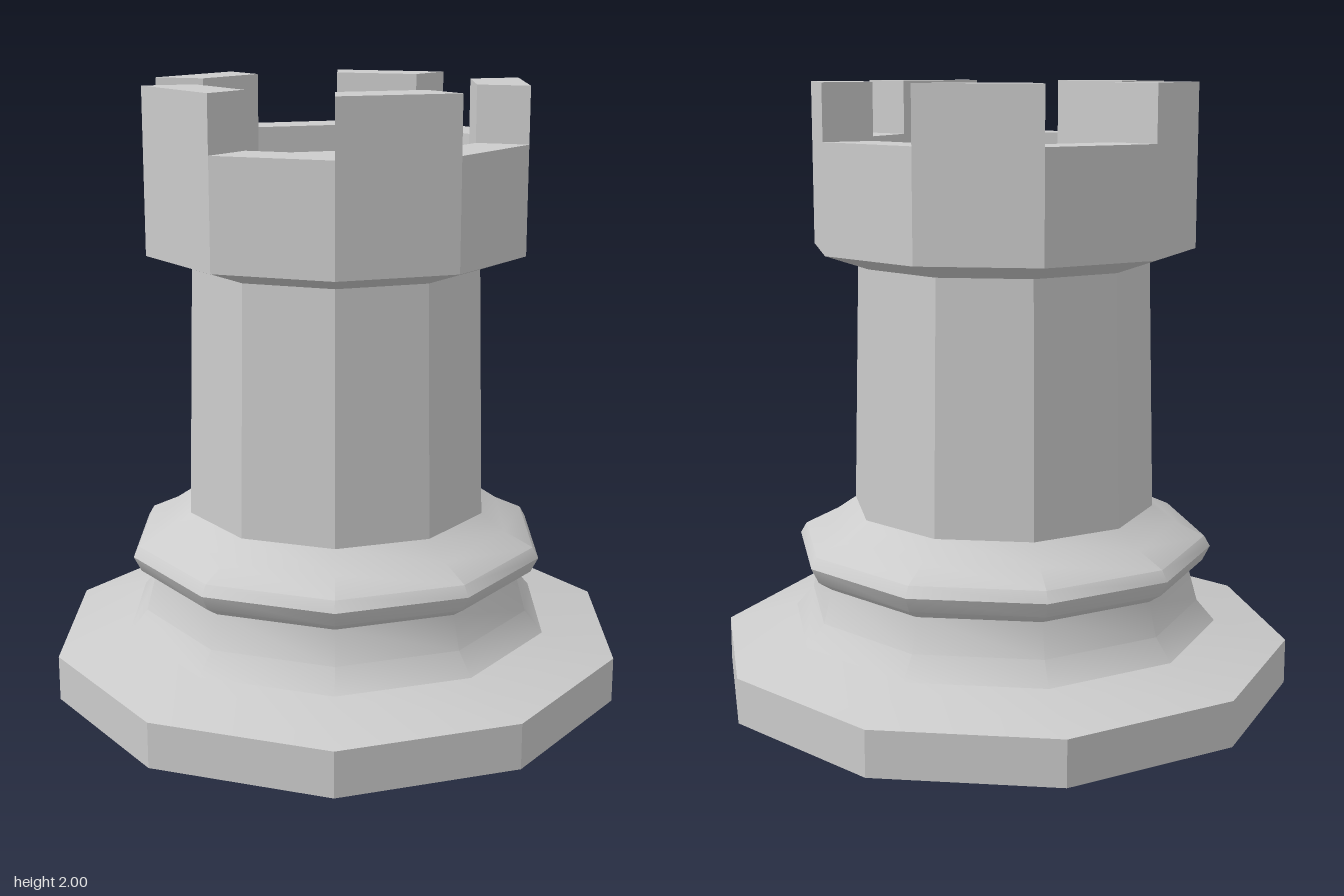
import * as THREE from 'three';
import { toCreasedNormals } from 'three/addons/utils/BufferGeometryUtils.js';

const SIDES = 10;
const STEP = (Math.PI * 2) / SIDES;
const CREASE = THREE.MathUtils.degToRad(35.3);
const RIM_OUTER = 0.63, RIM_INNER = 0.46;
const RIM_Y = 1.82, TOP_Y = 2;

const material = new THREE.MeshStandardMaterial({ color: 0xcccccc });
const flatMaterial = new THREE.MeshStandardMaterial({ color: 0xcccccc, flatShading: true });

// Ten-sided turned part from [radius, height] pairs, listed from the bottom up.
function turned(name, profile, smooth = false) {
  const points = profile.map(([r, y]) => new THREE.Vector2(r, y));
  let geometry = new THREE.LatheGeometry(points, SIDES);
  if (smooth) geometry = toCreasedNormals(geometry, CREASE);
  const mesh = new THREE.Mesh(geometry, smooth ? material : flatMaterial);
  mesh.name = name;
  return mesh;
}

// Block standing on one side of the decagonal rim, with radial ends.
function merlon(index) {
  const a = index * STEP, b = a + STEP;
  const corner = (r, t) => new THREE.Vector2(r * Math.sin(t), -r * Math.cos(t));
  const shape = new THREE.Shape([
    corner(RIM_OUTER, a), corner(RIM_OUTER, b),
    corner(RIM_INNER, b), corner(RIM_INNER, a),
  ]);
  const geometry = new THREE.ExtrudeGeometry(shape, { depth: TOP_Y - RIM_Y, bevelEnabled: false });
  geometry.rotateX(-Math.PI / 2).translate(0, RIM_Y, 0);
  const mesh = new THREE.Mesh(geometry, flatMaterial);
  mesh.name = 'merlon' + (index / 2 + 1);
  return mesh;
}

export function createModel() {
  const group = new THREE.Group();
  group.name = 'rook';

  // Plinth, sloping shoulder, concave waist and collar ring
  group.add(turned('base', [
    [0, 0], [0.96, 0], [0.96, 0.15],
    [0.72, 0.21], [0.66, 0.28], [0.63, 0.39],
    [0.675, 0.42], [0.7, 0.47], [0.68, 0.505],
    [0.585, 0.55], [0.505, 0.605],
  ], true));

  // Tapered tower
  group.add(turned('shaft', [[0.505, 0.605], [0.483, 1.42]]));

  // Flared crown with a recessed floor
  group.add(turned('crown', [
    [0.483, 1.42], [RIM_OUTER, 1.47], [RIM_OUTER, RIM_Y],
    [RIM_INNER, RIM_Y], [RIM_INNER, 1.73], [0, 1.73],
  ]));

  // Battlements on every other side
  const battlements = new THREE.Group();
  battlements.name = 'battlements';
  for (let i = 0; i < SIDES; i += 2) battlements.add(merlon(i));
  group.add(battlements);

  return group;
}
